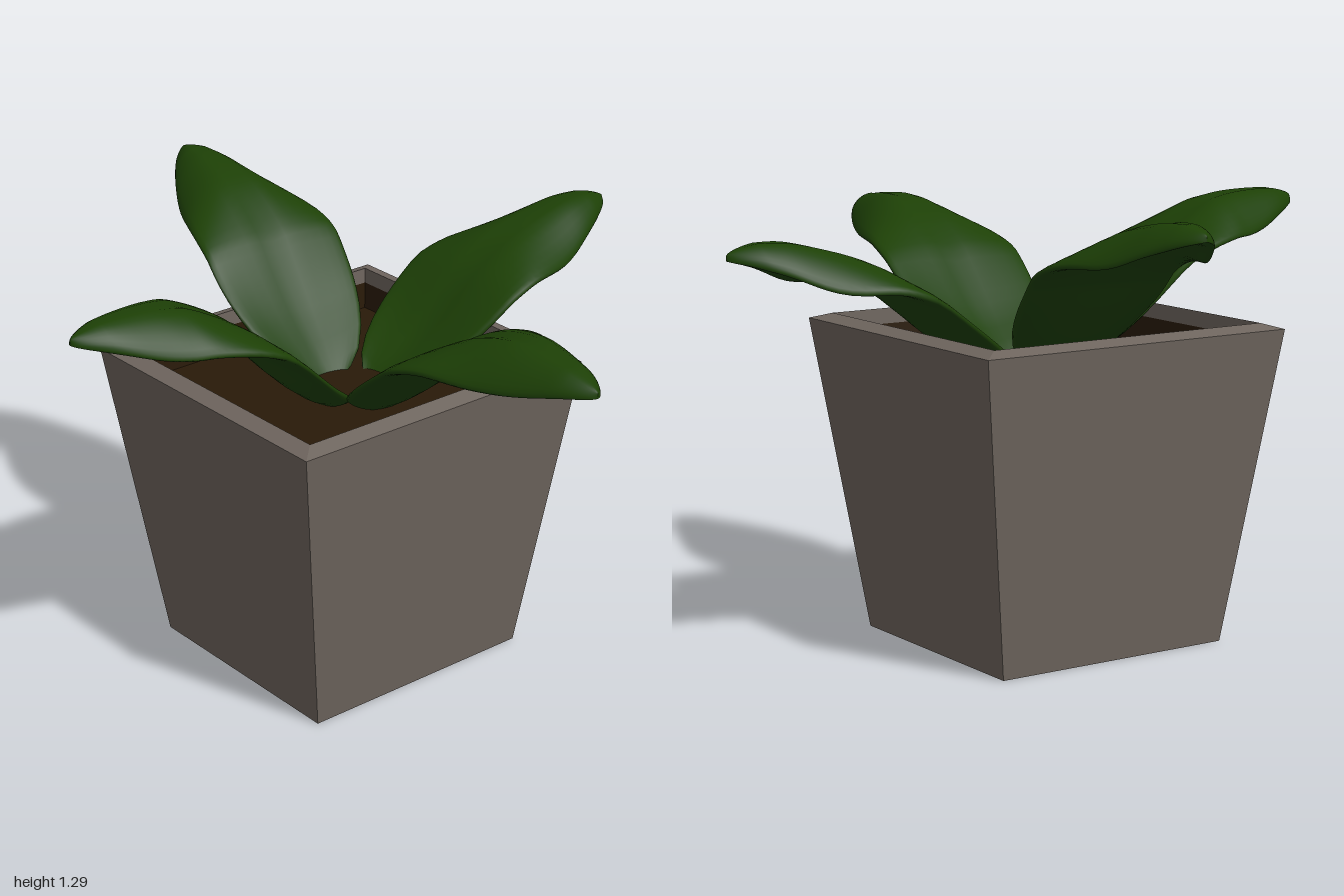
import * as THREE from 'three';

const mat = (name, color) => {
  const m = new THREE.MeshStandardMaterial({ color });
  m.name = name;
  return m;
};

// Four-sided loft from [halfWidth, y] points, with crisp flat faces
function squareLoft(points) {
  const profile = points.map(([h, y]) => new THREE.Vector2(h * Math.SQRT2, y));
  const lathe = new THREE.LatheGeometry(profile, 4, Math.PI / 4);
  lathe.scale(1, 1, 1.055);
  const geo = lathe.toNonIndexed();
  geo.computeVertexNormals();
  return geo;
}

// Half width of a leaf along its length: rounded root, long taper, blunt tip
function halfWidth(t) {
  if (t < 0.37) return 0.225 * Math.sqrt(1 - ((0.37 - t) / 0.39) ** 2);
  const d = Math.min(1, (t - 0.37) / 0.63);
  return 0.225 * (0.85 * (1 - d ** 1.65) + 0.15 * Math.sqrt(1 - d ** 8));
}

const bump = (t, centre, spread) => Math.exp(-(((t - centre) / spread) ** 2));

// Thick leaf from root to tip, cupped low down and arched further out;
// profile holds [t, topHeight]
function leafGeometry(root, tip, profile) {
  const rows = 40, cols = 32, maxThick = 0.026;
  const spine = new THREE.SplineCurve(profile.map(([t, y]) => new THREE.Vector2(t, y)));
  const dx = tip[0] - root[0], dz = tip[1] - root[1];
  const len = Math.hypot(dx, dz);
  const sx = -dz / len, sz = dx / len;
  const pos = [], index = [];
  for (let i = 0; i <= rows; i++) {
    const p = spine.getPoint(1 - (1 - i / rows) ** 1.7);
    const t = Math.min(1, Math.max(0, p.x));
    const w = halfWidth(t);
    const thick = maxThick * Math.min(1, Math.sqrt((1 - t) * 10), Math.sqrt(t * 12));
    const arch = 0.085 * bump(t, 0.7, 0.22) - 0.045 * bump(t, 0.12, 0.2);
    const middle = p.y - maxThick + 0.8 * Math.min(arch, 0);
    const groove = 0.012 * Math.sin(Math.PI * t);
    for (let j = 0; j < cols; j++) {
      const a = (j / cols) * Math.PI * 2;
      const s = Math.cos(a);
      const up = Math.sign(Math.sin(a)) * Math.abs(Math.sin(a)) ** 0.75;
      const crease = up > 0 ? groove * bump(s, 0, 0.15) : 0;
      pos.push(
        root[0] + dx * t + sx * s * w,
        middle - arch * s * s + thick * up - crease,
        root[1] + dz * t + sz * s * w
      );
      if (i < rows) {
        const k = (j + 1) % cols;
        const q = i * cols + j, r = i * cols + k;
        index.push(q, q + cols, r, r, q + cols, r + cols);
      }
    }
  }
  const geo = new THREE.BufferGeometry();
  geo.setAttribute('position', new THREE.Float32BufferAttribute(pos, 3));
  geo.setIndex(index);
  geo.computeVertexNormals();
  return geo;
}

export function createModel() {
  const group = new THREE.Group();
  group.name = 'pottedPlant';
  const stone = mat('warm grey pot', 0x6e655e);
  const earth = mat('dark brown soil', 0x291a08);
  const green = mat('deep green leaf', 0x1d4006);

  const add = (name, geo, material, x = 0, z = 0) => {
    const mesh = new THREE.Mesh(geo, material);
    mesh.name = name;
    mesh.position.set(x, 0, z);
    group.add(mesh);
  };

  // Tapered square pot with a sloping rim and hollow top
  add('pot', squareLoft([
    [0, 0], [0.357, 0], [0.477, 0.92], [0.428, 0.936], [0.426, 0.89],
  ]), stone, -0.065, 0.033);

  // Soil surface and the stained inner wall above it
  add('soil', squareLoft([[0.426, 0.89], [0.42, 0.81], [0, 0.81]]), earth, -0.065, 0.033);

  // Four leaves: root [x, z], tip [x, z], height profile
  const leaves = [
    ['leftLeaf', [0.03, -0.015], [0.997, 0.05],
      [[0, 0.835], [0.145, 0.935], [0.28, 1.035], [0.4, 1.12], [0.54, 1.193], [0.7, 1.235], [0.87, 1.225], [1, 1.208]]],
    ['rightLeaf', [-0.165, -0.015], [-0.997, -0.105],
      [[0, 0.84], [0.18, 0.975], [0.3, 1.07], [0.41, 1.162], [0.59, 1.252], [0.77, 1.287], [0.89, 1.292], [1, 1.29]]],
    ['frontLeaf', [-0.06, 0.06], [-0.035, 0.965],
      [[0, 0.84], [0.165, 0.945], [0.37, 1.115], [0.57, 1.23], [0.68, 1.262], [0.82, 1.27], [1, 1.263]]],
    ['backLeaf', [-0.068, -0.11], [-0.03, -0.968],
      [[0, 0.835], [0.2, 0.95], [0.41, 1.085], [0.56, 1.155], [0.77, 1.205], [0.9, 1.21], [1, 1.203]]],
  ];
  for (const [name, root, tip, profile] of leaves) add(name, leafGeometry(root, tip, profile), green);

  return group;
}
